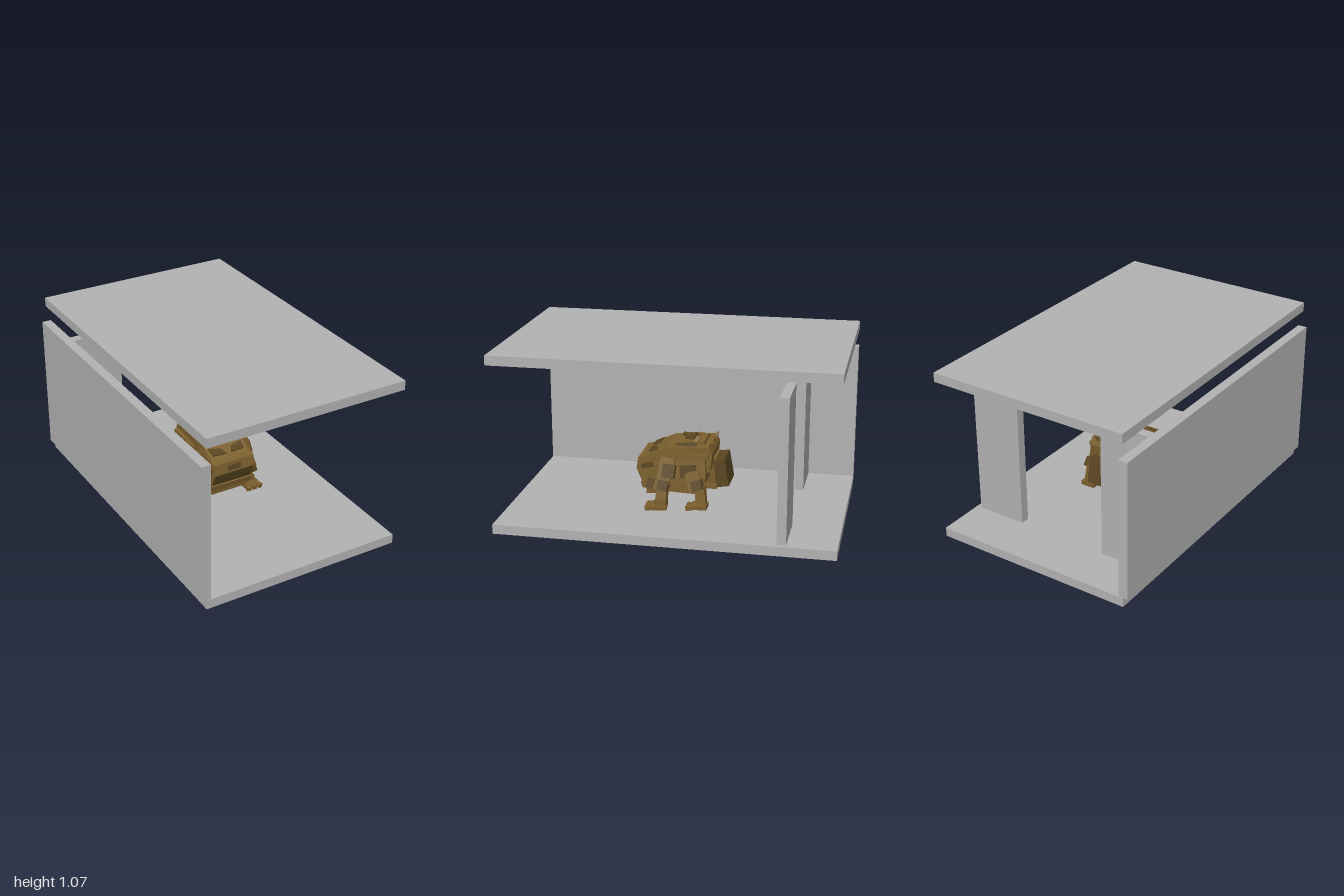
import * as THREE from 'three';

const mat = (name, color) => {
  const m = new THREE.MeshStandardMaterial({ color });
  m.name = name;
  return m;
};

export function createModel() {
  const concrete = mat('concrete grey', 0xb2b2b2);
  const lampWhite = mat('lamp off-white', 0xc9cbbf);
  const bronze = mat('bronze', 0x7c602f);
  const darkBronze = mat('dark bronze', 0x5a4621);
  const root = new THREE.Group();

  const add = (parent, name, geo, material, p = [0, 0, 0], r = [0, 0, 0]) => {
    const m = new THREE.Mesh(geo, material);
    m.name = name;
    m.position.set(...p);
    m.rotation.set(...r);
    parent.add(m);
    return m;
  };
  const span = (name, material, [x0, x1], [y0, y1], [z0, z1]) =>
    add(root, name, new THREE.BoxGeometry(x1 - x0, y1 - y0, z1 - z0), material,
      [(x0 + x1) / 2, (y0 + y1) / 2, (z0 + z1) / 2]);

  // Room
  span('floor', concrete, [-0.613, 0.64], [0, 0.057], [-1, 1]);
  span('ceiling', concrete, [-0.613, 0.64], [1.015, 1.072], [-1, 1]);
  span('sideWall', concrete, [-0.642, -0.585], [0.06, 0.913], [-1, 1]);
  span('backWallRight', concrete, [-0.585, -0.273], [0.057, 0.913], [-0.712, -0.657]);
  span('backWallLeft', concrete, [0.298, 0.61], [0.057, 0.913], [-0.712, -0.657]);
  span('ceilingLamp', lampWhite, [-0.13, 0.155], [0.908, 0.955], [-0.168, 0.402]);

  // Armoured beast
  const beast = new THREE.Group();
  beast.name = 'beast';
  beast.position.x = 0.012;
  root.add(beast);

  // Side profile given as [z, y] points, extruded across x
  const profile = (name, pts, width, material = bronze) => {
    const shape = new THREE.Shape(pts.map(([z, y]) => new THREE.Vector2(z, y)));
    const geo = new THREE.ExtrudeGeometry(shape, { depth: width, bevelEnabled: false });
    geo.rotateY(-Math.PI / 2).translate(width / 2, 0, 0);
    return add(beast, name, geo, material);
  };
  const box = (name, size, p, r, material = bronze) =>
    add(beast, name, new THREE.BoxGeometry(...size), material, p, r);
  const pair = (name, size, [x, y, z], [rx, ry, rz] = [0, 0, 0], material = bronze) => {
    box(name + 'Left', size, [x, y, z], [rx, ry, rz], material);
    box(name + 'Right', size, [-x, y, z], [rx, -ry, -rz], material);
  };

  // Head, jaw and torso
  profile('head', [[0.24, 0.355], [0.25, 0.29], [0.215, 0.205], [0.225, 0.2], [0.215, 0.165],
    [0.05, 0.165], [0.05, 0.395], [0.1, 0.385]], 0.275);
  profile('brow', [[0.225, 0.355], [0.065, 0.43], [-0.06, 0.435], [-0.06, 0.355]], 0.262);
  profile('torso', [[0.06, 0.43], [-0.19, 0.445], [-0.21, 0.4], [-0.2, 0.3], [-0.13, 0.25],
    [0.06, 0.2]], 0.285);
  profile('belly', [[0.17, 0.17], [0.16, 0.14], [-0.1, 0.13], [-0.16, 0.2], [-0.16, 0.28],
    [0.1, 0.28]], 0.2);
  box('jaw', [0.245, 0.04, 0.13], [0, 0.15, 0.13], [0.08, 0, 0]);
  box('chin', [0.17, 0.02, 0.07], [0, 0.135, 0.15], [0, 0, 0]);
  box('noseSlot', [0.09, 0.032, 0.008], [0, 0.317, 0.246], [-0.15, 0, 0], darkBronze);
  box('mouth', [0.262, 0.088, 0.008], [0, 0.247, 0.232], [0.39, 0, 0], darkBronze);
  pair('cheekPlate', [0.01, 0.03, 0.07], [0.14, 0.31, 0.185], [0.25, 0, 0], darkBronze);

  // Slanted eyes on the brow slope
  const eyeShape = new THREE.Shape([[0.018, -0.035], [0.105, -0.03], [0.112, 0.025], [0.035, 0.005]]
    .map(([x, y]) => new THREE.Vector2(x, y)));
  const eyeGeo = new THREE.ExtrudeGeometry(eyeShape, { depth: 0.008, bevelEnabled: false });
  for (const s of [1, -1]) {
    const holder = new THREE.Group();
    holder.name = s > 0 ? 'eyeLeft' : 'eyeRight';
    holder.position.set(0, 0.392, 0.15);
    holder.rotation.x = -1.13;
    holder.scale.x = s;
    beast.add(holder);
    add(holder, 'eyePanel', eyeGeo, darkBronze);
  }

  // Back plates and spikes
  box('backHatch', [0.18, 0.025, 0.13], [0, 0.445, -0.09], [0.05, 0, 0]);
  box('hatchCap', [0.08, 0.02, 0.06], [0, 0.46, -0.06], [0.15, 0, 0], darkBronze);
  box('frontSpikeLeft', [0.018, 0.06, 0.02], [0.072, 0.457, -0.1], [-0.35, 0, 0.4]);
  box('frontSpikeRight', [0.018, 0.05, 0.02], [-0.055, 0.452, -0.1], [-0.35, 0, -0.5]);
  pair('rearSpike', [0.025, 0.05, 0.015], [0.095, 0.445, -0.195], [-0.4, 0, -0.3]);
  pair('backRidge', [0.03, 0.02, 0.12], [0.1, 0.44, -0.05], [0.05, 0, 0.2], darkBronze);

  // Tail armour
  box('tailPlate', [0.2, 0.165, 0.07], [0, 0.272, -0.257], [0.17, 0, 0], darkBronze);
  box('tailRoot', [0.14, 0.1, 0.06], [0, 0.31, -0.205], [0.17, 0, 0]);

  // Flanks
  pair('flank', [0.045, 0.14, 0.2], [0.148, 0.325, -0.075], [0.06, 0, 0.12]);
  pair('sidePanel', [0.008, 0.075, 0.1], [0.178, 0.3, -0.072], [0.1, 0, 0.12], darkBronze);
  pair('sideRail', [0.03, 0.025, 0.2], [0.15, 0.385, -0.09], [0.08, 0, 0]);

  // Front legs
  pair('shoulder', [0.075, 0.13, 0.085], [0.165, 0.31, 0.06], [-0.15, 0, 0.25]);
  pair('shoulderPad', [0.045, 0.08, 0.075], [0.2, 0.303, 0.04], [-0.1, 0, 0.25], darkBronze);
  pair('upperFrontLeg', [0.065, 0.12, 0.08], [0.185, 0.235, 0.08], [-0.3, 0, 0.2]);
  pair('elbowPad', [0.03, 0.06, 0.06], [0.217, 0.215, 0.075], [-0.15, 0, 0.25], darkBronze);
  pair('forearmPad', [0.03, 0.055, 0.055], [0.185, 0.21, 0.15], [-0.25, 0, 0.2], darkBronze);
  pair('forearm', [0.06, 0.15, 0.065], [0.178, 0.16, 0.085], [-0.05, 0, 0.15]);
  pair('frontAnkle', [0.075, 0.04, 0.07], [0.185, 0.102, 0.09]);
  pair('frontFoot', [0.1, 0.026, 0.09], [0.185, 0.075, 0.1], [0, 0.12, 0]);
  for (const i of [-1, 0, 1])
    pair('frontToe' + (i + 2), [0.028, 0.026, 0.045], [0.19 + i * 0.036, 0.072, 0.16], [0.1, i * 0.25, 0]);

  // Rear legs
  pair('thigh', [0.06, 0.12, 0.09], [0.165, 0.24, -0.11], [0.3, 0, 0.2]);
  pair('kneePad', [0.03, 0.06, 0.065], [0.205, 0.225, -0.13], [0.3, 0, 0.25], darkBronze);
  pair('shin', [0.055, 0.11, 0.06], [0.178, 0.155, -0.15], [0.1, 0, 0.1]);
  pair('rearFoot', [0.09, 0.026, 0.09], [0.185, 0.093, -0.145]);
  for (const i of [-1, 0, 1])
    pair('rearToe' + (i + 2), [0.025, 0.022, 0.04], [0.19 + i * 0.033, 0.085, -0.085], [0.1, i * 0.25, 0]);

  return root;
}
